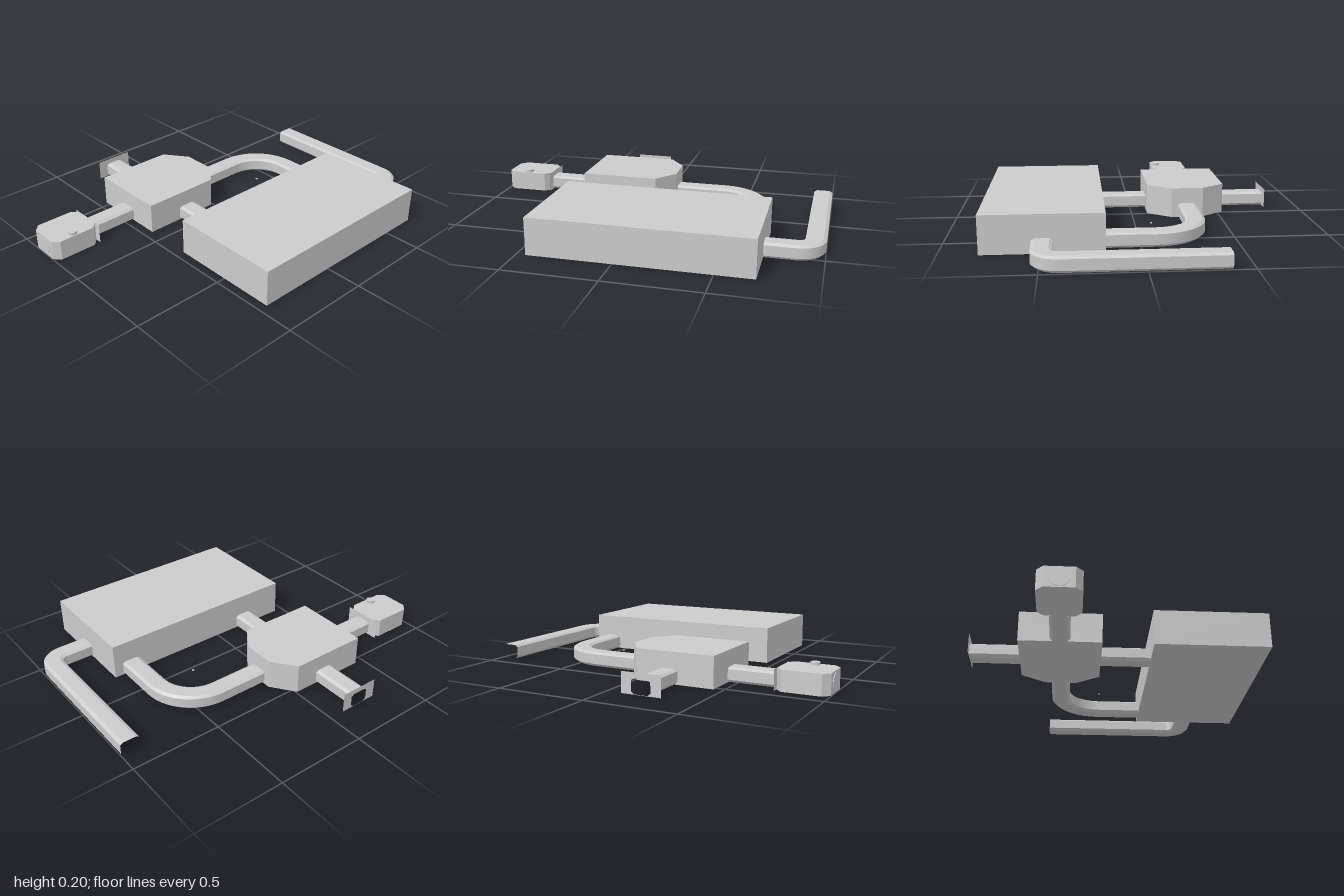
import * as THREE from 'three';
import { toCreasedNormals } from 'three/addons/utils/BufferGeometryUtils.js';

// Corridor section: [sideways, up], counter-clockwise
const SECTION = [
  [0.036, 0], [0.053, 0.015], [0.053, 0.07], [0.036, 0.08],
  [-0.036, 0.08], [-0.053, 0.07], [-0.053, 0.015], [-0.036, 0],
];

const grey = () => new THREE.MeshStandardMaterial({ color: 0xcccccc });

function add(group, name, geometry, x = 0, y = 0, z = 0) {
  const mesh = new THREE.Mesh(geometry, grey());
  mesh.name = name;
  mesh.position.set(x, y, z);
  group.add(mesh);
  return mesh;
}

// Block raised from a floor plan of [x, z] corners
function planBlock(corners, height) {
  const shape = new THREE.Shape(corners.map(([x, z]) => new THREE.Vector2(x, -z)));
  return new THREE.ExtrudeGeometry(shape, { depth: height, bevelEnabled: false }).rotateX(-Math.PI / 2);
}

// Points of an arc on the ground plane, as [x, z]
function arc(cx, cz, r, from, to, steps = 14) {
  return Array.from({ length: steps + 1 }, (_, i) => {
    const a = from + ((to - from) * i) / steps;
    return [cx + r * Math.cos(a), cz + r * Math.sin(a)];
  });
}

// Open-ended corridor: the section swept along a ground path
function corridor(path) {
  const rings = path.map(([x, z], i) => {
    const p = path[Math.max(i - 1, 0)], q = path[Math.min(i + 1, path.length - 1)];
    const len = Math.hypot(q[0] - p[0], q[1] - p[1]);
    const rx = -(q[1] - p[1]) / len, rz = (q[0] - p[0]) / len;
    return SECTION.map(([u, y]) => [x + u * rx, y, z + u * rz]);
  });
  const pos = [];
  for (let i = 0; i + 1 < rings.length; i++) {
    for (let j = 0; j < SECTION.length; j++) {
      const k = (j + 1) % SECTION.length;
      const a = rings[i][j], b = rings[i][k], c = rings[i + 1][k], d = rings[i + 1][j];
      pos.push(...a, ...c, ...b, ...a, ...d, ...c);
    }
  }
  const geometry = new THREE.BufferGeometry();
  geometry.setAttribute('position', new THREE.Float32BufferAttribute(pos, 3));
  return toCreasedNormals(geometry, 0.4);
}

// Thin end plate with a corridor-shaped opening
function endPlate() {
  const shape = new THREE.Shape([[-0.11, 0], [0.11, 0], [0.11, 0.11], [-0.11, 0.11]]
    .map(([x, y]) => new THREE.Vector2(x, y)));
  shape.holes.push(new THREE.Path(SECTION.map(([x, y]) => new THREE.Vector2(x, Math.max(y, 0.002)))));
  return new THREE.ShapeGeometry(shape);
}

export function createModel() {
  const model = new THREE.Group();
  model.name = 'linkedModules';

  // Main hall and hub
  add(model, 'mainHall', new THREE.BoxGeometry(0.62, 0.2, 1.15), 0.49, 0.1, -0.125);
  add(model, 'hub', planBlock([
    [-0.53, 0.45], [-0.09, 0.45], [-0.09, 0.01], [-0.22, -0.085], [-0.4, -0.085], [-0.53, 0.01],
  ], 0.168));

  // Corridors
  add(model, 'sideCorridor', corridor([[-0.8, 0.195], [-0.53, 0.195]]));
  add(model, 'linkCorridor', corridor([[-0.09, 0.195], [0.18, 0.195]]));
  add(model, 'podCorridor', corridor([[-0.31, 0.45], [-0.31, 0.725]]));
  add(model, 'curvedCorridor', corridor([
    [-0.31, -0.085], ...arc(-0.075, -0.36, 0.235, Math.PI, Math.PI * 1.5), [0.18, -0.595],
  ]));
  add(model, 'backCorridor', corridor([
    [0.49, -0.7], ...arc(0.4, -0.857, 0.09, 0, -Math.PI / 2), [-0.39, -0.947],
  ]));
  add(model, 'curveCentreMarker', new THREE.BoxGeometry(0.01, 0.005, 0.01), -0.075, 0.045, -0.355);

  // Entrance pod with chamfered corners
  const pod = new THREE.Group();
  pod.name = 'entrancePod';
  pod.position.set(-0.31, 0, 0);
  model.add(pod);
  add(pod, 'podBody', planBlock([
    [-0.075, 0.997], [0.075, 0.997], [0.11, 0.962], [0.11, 0.757],
    [0.075, 0.724], [-0.075, 0.724], [-0.11, 0.757], [-0.11, 0.962],
  ], 0.11));
  add(pod, 'roofHatch', new THREE.CylinderGeometry(0.025, 0.025, 0.015, 20), 0.08, 0.1175, 0.868);
  add(pod, 'frontHatch', new THREE.CylinderGeometry(0.049, 0.049, 0.003, 24).rotateX(Math.PI / 2), 0, 0.053, 0.9985);

  // End plates on the pod and on the open side corridor
  const podPlate = add(model, 'podEndPlate', endPlate(), -0.31, 0, 0.722);
  const sidePlate = add(model, 'sideEndPlate', endPlate(), -0.8, 0, 0.195);
  sidePlate.rotation.y = -Math.PI / 2;
  for (const plate of [podPlate, sidePlate]) plate.material.side = THREE.DoubleSide;

  return model;
}
